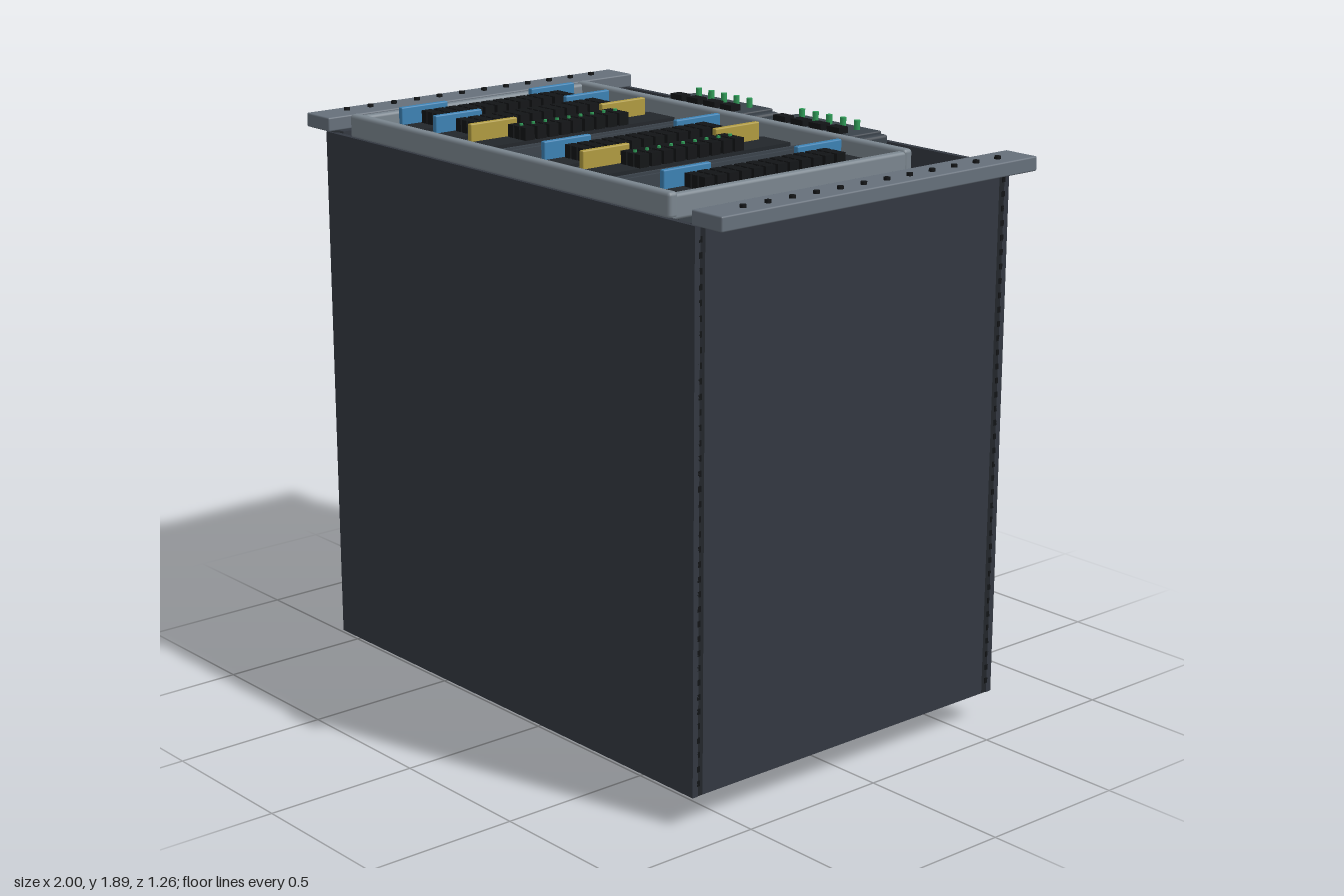
import * as THREE from 'three';
import { RoundedBoxGeometry } from 'three/addons/geometries/RoundedBoxGeometry.js';

const mat = (color) => new THREE.MeshStandardMaterial({ color });

export function createModel() {
  const model = new THREE.Group();
  const M = {
    body: mat(0x333841), dark: mat(0x22262b), black: mat(0x121416), plate: mat(0x3b434b),
    trim: mat(0x66707b), rail: mat(0x7b868f), blue: mat(0x3c82b4), yellow: mat(0xb09b40), green: mat(0x2f9d58),
  };
  const group = (name, parent = model) => {
    const g = new THREE.Group();
    g.name = name;
    parent.add(g);
    return g;
  };
  const add = (parent, name, geo, m, x, y, z) => {
    const mesh = new THREE.Mesh(geo, m);
    mesh.name = name;
    mesh.position.set(x, y, z);
    parent.add(mesh);
    return mesh;
  };
  // Box given by its limits on each axis
  const box = (parent, name, m, x0, x1, y0, y1, z0, z1, r = 0) => {
    const s = [x1 - x0, y1 - y0, z1 - z0];
    const geo = r ? new RoundedBoxGeometry(...s, 2, r) : new THREE.BoxGeometry(...s);
    return add(parent, name, geo, m, (x0 + x1) / 2, (y0 + y1) / 2, (z0 + z1) / 2);
  };
  // Upright cylinder given by its lower and upper height
  const disc = (parent, name, m, r, x, y0, y1, z, seg = 24) =>
    add(parent, name, new THREE.CylinderGeometry(r, r, y1 - y0, seg), m, x, (y0 + y1) / 2, z);

  // Outer shell: open-topped sheet walls and a floor with narrow gaps
  const shell = group('shell');
  for (const s of [-1, 1]) {
    box(shell, 'wall', M.body, -0.89, 0.89, 0.1, 1.8, s * 0.62 - 0.01, s * 0.62 + 0.01);
    box(shell, 'sidePanel', M.body, s * 0.87 - 0.018, s * 0.87 + 0.018, 0.1, 1.8, -0.59, 0.59);
    box(shell, 'floorLink', M.dark, s * 0.855 - 0.01, s * 0.855 + 0.01, 0.1, 0.12, -0.61, 0.61);
  }
  box(shell, 'floor', M.plate, -0.85, 0.85, 0.1, 0.12, -0.57, 0.57);

  // Corner posts with a column of perforations
  const slot = new THREE.BoxGeometry(0.004, 0.018, 0.012);
  for (const sx of [-1, 1]) for (const sz of [-1, 1]) {
    const post = group('cornerPost');
    box(post, 'post', M.dark, sx * 0.87 - 0.018, sx * 0.87 + 0.018, 0.1, 1.8, sz * 0.608 - 0.018, sz * 0.608 + 0.018);
    for (let y = 0.14; y < 1.78; y += 0.045) add(post, 'perforation', slot, M.black, sx * 0.888, y, sz * 0.608);
  }

  // Mounting ears with a row of fixings
  for (const s of [-1, 1]) {
    const ear = group('mountingEar');
    box(ear, 'flange', M.trim, s * 0.9375 - 0.0625, s * 0.9375 + 0.0625, 1.8, 1.845, -0.63, 0.63, 0.005);
    for (let i = 0; i < 12; i++) disc(ear, 'fixing', M.black, 0.01, s * 0.95, 1.84, 1.854, -0.51 + i * 0.0925, 12);
  }

  // Raised rail frame around the card bay
  const frame = group('bayFrame');
  for (const s of [-1, 1]) box(frame, 'sideRail', M.rail, s * 0.755 - 0.015, s * 0.755 + 0.015, 1.79, 1.865, -0.33, 0.615, 0.01);
  box(frame, 'rearRail', M.rail, -0.772, 0.772, 1.795, 1.872, -0.335, -0.3, 0.012);
  box(frame, 'frontRail', M.rail, -0.772, 0.772, 1.795, 1.872, 0.585, 0.62, 0.012);

  // Card cage beneath the frame
  const cage = group('cardCage');
  for (const s of [-1, 1]) box(cage, 'cageSide', M.plate, s * 0.745 - 0.01, s * 0.745 + 0.01, 0.7, 1.8, -0.32, 0.57);
  box(cage, 'cageRear', M.plate, -0.74, 0.74, 0.7, 1.8, -0.32, -0.3);
  box(cage, 'cageFront', M.plate, -0.74, 0.74, 0.7, 1.8, 0.55, 0.57);
  box(cage, 'cageFloor', M.dark, -0.74, 0.74, 0.7, 0.72, -0.32, 0.57);
  box(cage, 'rearLedge', M.plate, -0.74, 0.74, 1.77, 1.8, -0.3, -0.25);
  box(cage, 'frontLedge', M.plate, -0.74, 0.74, 1.77, 1.8, 0.53, 0.57);

  const pitch = 0.181;
  const slotX = (i) => -0.635 + i * pitch;
  for (let i = 0; i <= 8; i++) {
    const x = Math.min(slotX(i) - pitch / 2, 0.718);
    box(cage, 'divider', M.plate, x - 0.02, x + 0.02, 0.72, 1.8, -0.29, 0.55);
    for (const s of [-1, 1]) box(cage, 'guideRail', M.plate, x + s * 0.018 - 0.005, x + s * 0.018 + 0.005, 1.8, 1.825, -0.28, 0.55);
    box(cage, 'guideInset', M.black, x - 0.012, x + 0.012, 1.795, 1.803, 0.27, 0.5);
  }

  // Plug-in cards: port grid and two coloured levers each
  const port = new THREE.BoxGeometry(0.025, 0.04, 0.036);
  const addCard = (i, lever, rows, zStart, lamps) => {
    const x = slotX(i);
    const card = group('card' + (i + 1));
    box(card, 'cardBody', M.dark, x - 0.062, x + 0.062, 0.75, 1.835, -0.25, 0.53);
    for (const z of [-0.21, 0.31]) box(card, 'lever', lever, x - 0.053, x - 0.034, 1.83, 1.89, z, z + 0.18, 0.004);
    for (let r = 0; r < rows; r++) for (let c = 0; c < 3; c++) {
      const px = x - 0.013 + c * 0.031, pz = zStart + r * 0.047;
      add(card, 'port', port, M.black, px, 1.855, pz);
      if (lamps && c === 1) disc(card, 'lamp', M.green, 0.006, px, 1.87, 1.882, pz, 8);
    }
  };
  [0, 1, 4, 7].forEach((i) => addCard(i, M.blue, 12, -0.115, false));
  [2, 5].forEach((i) => addCard(i, M.yellow, 9, -0.04, true));

  // Power modules in the rear recess
  const power = group('powerBay');
  box(power, 'bayBack', M.dark, -0.655, 0.655, 0.7, 1.74, -0.56, -0.335);
  for (const s of [-1, 1]) {
    const unit = group('powerModule', power);
    const x = s * 0.2475 - 0.001;
    box(unit, 'moduleBody', M.plate, x - 0.21, x + 0.21, 0.75, 1.84, -0.55, -0.34, 0.01);
    box(unit, 'facePlate', M.plate, x - 0.19, x + 0.19, 1.835, 1.85, -0.54, -0.35, 0.005);
    for (let k = 0; k < 5; k++) disc(unit, 'lamp', M.green, 0.01, x - 0.122 + k * 0.062, 1.845, 1.88, -0.495, 10);
    for (let k = 0; k < 4; k++) {
      const px = x - 0.122 + k * 0.081;
      box(unit, 'socket', M.black, px - 0.027, px + 0.027, 1.84, 1.87, -0.435, -0.395);
    }
  }

  // Underside: long fan strip with five round inlets
  const strip = group('inletStrip');
  box(strip, 'stripPlate', M.plate, -0.77, 0.77, 0.048, 0.1, 0.27, 0.55, 0.012);
  for (let i = -2; i <= 2; i++) {
    const x = i * 0.287;
    disc(strip, 'inletRing', M.black, 0.088, x, 0.022, 0.06, 0.41);
    disc(strip, 'inletCollar', M.dark, 0.06, x, 0.014, 0.03, 0.41);
    disc(strip, 'inletPin', M.trim, 0.024, x, 0.002, 0.02, 0.41, 16);
  }

  // Underside: three power inlet modules with plug, switch and lamp
  for (let i = -1; i <= 1; i++) {
    const x = i * 0.46;
    const inlet = group('powerInlet');
    box(inlet, 'inletBase', M.plate, x - 0.22, x + 0.22, 0.06, 0.1, -0.57, -0.33, 0.01);
    box(inlet, 'inletPlate', M.dark, x - 0.2, x + 0.2, 0.048, 0.065, -0.555, -0.345, 0.005);
    disc(inlet, 'plug', M.black, 0.08, x + 0.08, 0.02, 0.05, -0.44);
    box(inlet, 'switch', M.black, x - 0.12, x - 0.03, 0.015, 0.05, -0.48, -0.4, 0.008);
    disc(inlet, 'lamp', M.green, 0.012, x - 0.13, 0.005, 0.05, -0.5, 12);
  }
  return model;
}
